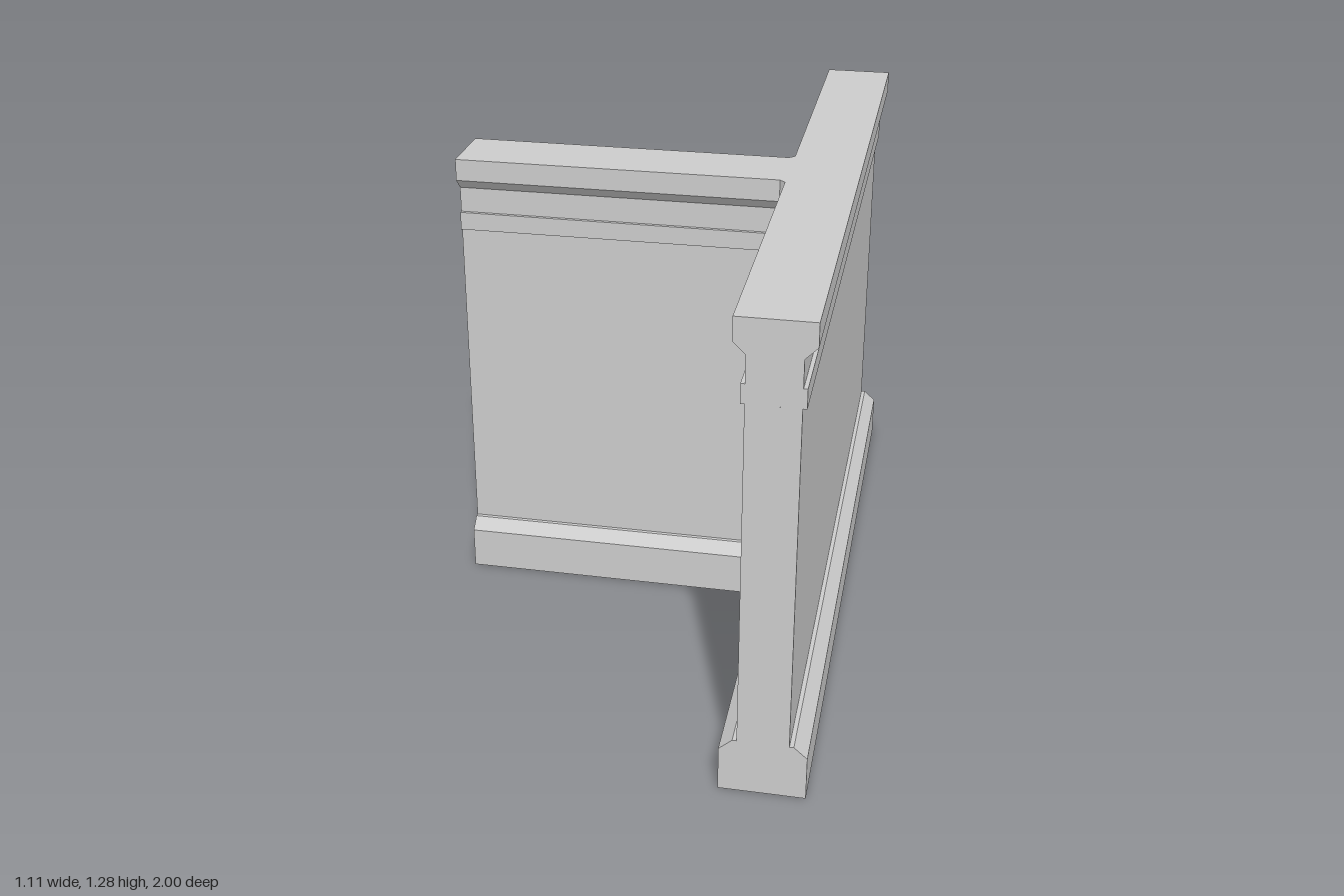
import * as THREE from 'three';

const CX = 0.445;    // centre line of the long wall
const BASE = 0.11;   // half thickness of the base
const TOP = 0.095;   // half thickness of the cap

// T-shaped plan at half thickness w, with bevelled inner corners, as [x, z]
function plan(w) {
  return [
    [CX + w, 1], [CX + w, -1], [CX - w, -1], [CX - w, -BASE],
    [CX - BASE, -w], [-0.555, -w], [-0.555, w], [CX - BASE, w],
    [CX - w, BASE], [CX - w, 1],
  ];
}

// Wall strips between consecutive [halfThickness, height] levels
function loft(levels) {
  const pos = [];
  const tri = (...pts) => {
    const [a, b, c] = pts.map((p) => new THREE.Vector3(...p));
    if (new THREE.Triangle(a, b, c).getArea() > 1e-7) pos.push(...pts.flat());
  };
  for (let i = 0; i < levels.length - 1; i++) {
    const [lo, hi] = [levels[i], levels[i + 1]].map(([w, y]) => plan(w).map(([x, z]) => [x, y, z]));
    lo.forEach((a, j) => {
      const k = (j + 1) % lo.length;
      tri(a, lo[k], hi[k]);
      tri(a, hi[k], hi[j]);
    });
  }
  const geo = new THREE.BufferGeometry();
  geo.setAttribute('position', new THREE.Float32BufferAttribute(pos, 3));
  geo.computeVertexNormals();
  return geo;
}

export function createModel() {
  const group = new THREE.Group();
  const material = new THREE.MeshStandardMaterial({
    color: 0xcccccc, flatShading: true, side: THREE.DoubleSide,
  });
  const add = (name, geometry) => {
    const mesh = new THREE.Mesh(geometry, material);
    mesh.name = name;
    group.add(mesh);
  };

  // Stacked mouldings, open underneath
  const parts = {
    skirting: [[BASE, 0], [BASE, 0.12], [0.076, 0.15], [0.065, 0.15]],
    wallPanel: [[0.065, 0.15], [0.065, 1.07]],
    railBand: [[0.065, 1.07], [0.075, 1.07], [0.075, 1.12], [0.065, 1.12]],
    frieze: [[0.065, 1.12], [0.065, 1.19]],
    cornice: [[0.065, 1.19], [TOP, 1.22], [TOP, 1.28]],
  };
  for (const [name, levels] of Object.entries(parts)) add(name, loft(levels));

  // Flat top
  const shape = new THREE.Shape(plan(TOP).map(([x, z]) => new THREE.Vector2(x, -z)));
  add('topCap', new THREE.ShapeGeometry(shape).rotateX(-Math.PI / 2).translate(0, 1.28, 0));

  return group;
}
